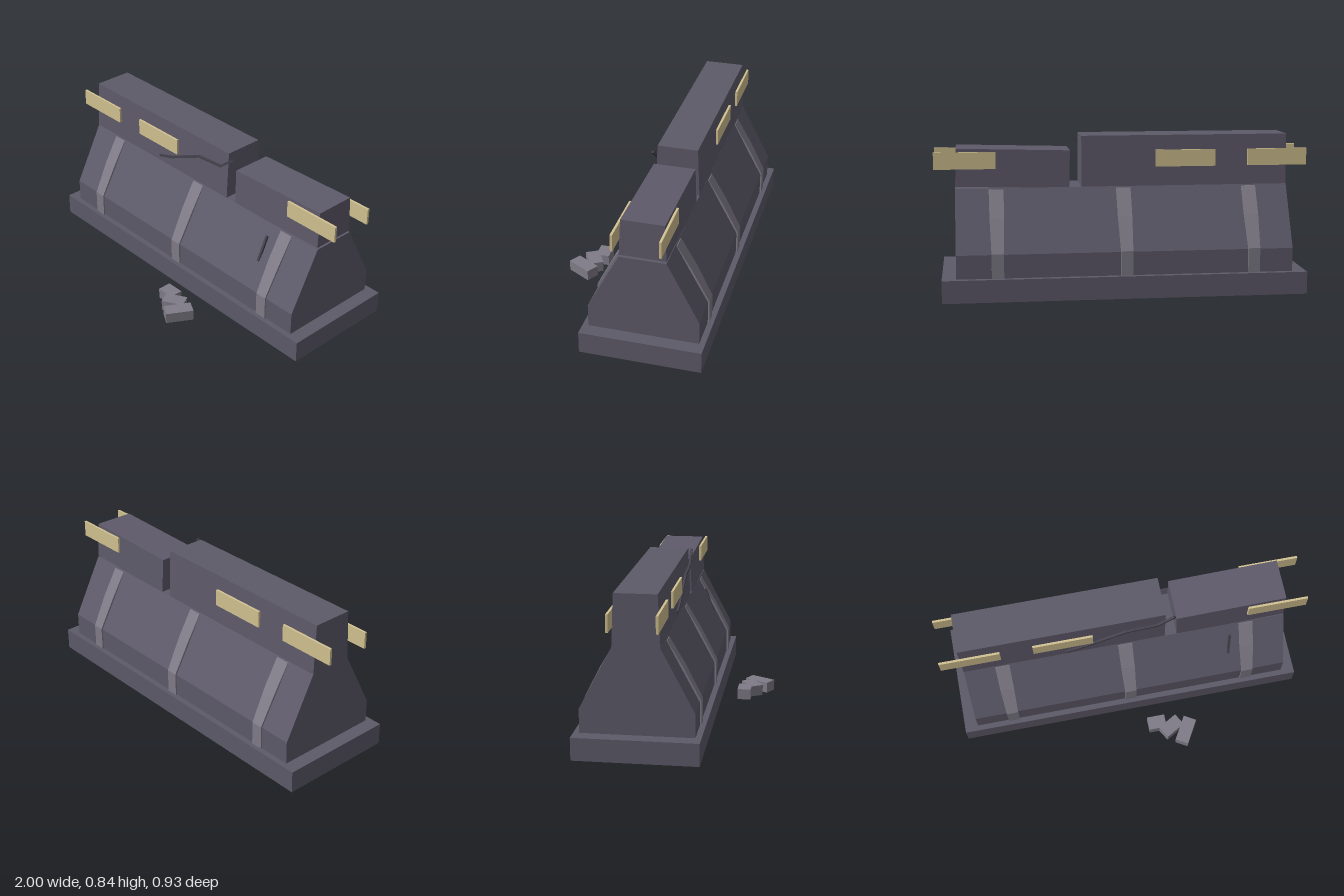
import * as THREE from 'three';

const CZ = -0.146; // centre line of the barrier

const material = (name, color, extra = {}) => {
  const m = new THREE.MeshStandardMaterial({ color, ...extra });
  m.name = name;
  return m;
};

// Cross-section of [half depth, y] points, mirrored and extruded along x
function prism(half, x0, x1) {
  const right = half.map(([d, y]) => new THREE.Vector2(d, y));
  const left = half.map(([d, y]) => new THREE.Vector2(-d, y)).reverse();
  const geo = new THREE.ExtrudeGeometry(new THREE.Shape([...right, ...left]), { depth: x1 - x0, bevelEnabled: false });
  geo.rotateY(Math.PI / 2);
  geo.translate(x0, 0, CZ);
  return geo;
}

// Ribbon of boxes following a path
function crack(points, thick, depth, mat, name) {
  const group = new THREE.Group();
  group.name = name;
  for (let i = 0; i < points.length - 1; i++) {
    const a = new THREE.Vector3(...points[i]);
    const b = new THREE.Vector3(...points[i + 1]);
    const piece = new THREE.Mesh(new THREE.BoxGeometry(thick, depth, a.distanceTo(b) + thick * 0.4), mat);
    piece.name = name + 'Piece';
    piece.position.copy(a).add(b).multiplyScalar(0.5);
    piece.up.set(0, 0, 1);
    piece.lookAt(b);
    group.add(piece);
  }
  return group;
}

// Bent strip on the sloped wall: rows of [half width, y, outer z, inner z]
function ribGeometry(rows) {
  const pos = [], index = [];
  rows.forEach(([w, y, out, inn]) => pos.push(-w, y, out, w, y, out, w, y, inn, -w, y, inn));
  for (let r = 0; r < rows.length - 1; r++) {
    for (let k = 0; k < 4; k++) {
      const a = r * 4 + k, b = r * 4 + (k + 1) % 4;
      index.push(a, b, b + 4, a, b + 4, a + 4);
    }
  }
  const t = (rows.length - 1) * 4;
  index.push(t, t + 1, t + 2, t, t + 2, t + 3, 0, 2, 1, 0, 3, 2);
  const geo = new THREE.BufferGeometry();
  geo.setAttribute('position', new THREE.Float32BufferAttribute(pos, 3));
  geo.setIndex(index);
  const flat = geo.toNonIndexed();
  flat.computeVertexNormals();
  return flat;
}

export function createModel() {
  const model = new THREE.Group();
  model.name = 'brokenBarrier';
  const concrete = material('concrete', 0x5e5a6a);
  const paleConcrete = material('paleConcrete', 0x807c88);
  const yellow = material('fadedYellow', 0xd2c291);
  const dark = material('crackDark', 0x45424c);

  const add = (name, geo, mat, x = 0, y = 0, z = 0) => {
    const mesh = new THREE.Mesh(geo, mat);
    mesh.name = name;
    mesh.position.set(x, y, z);
    model.add(mesh);
    return mesh;
  };

  // Footing and sloped body
  add('footing', new THREE.BoxGeometry(1.93, 0.12, 0.643), concrete, 0, 0.06, CZ);
  add('slopedBody', prism([[0.291, 0.117], [0.291, 0.245], [0.121, 0.57]], -0.89, 0.89), concrete);

  // Upper wall in two pieces, one of them tilted
  add('upperWall', prism([[0.121, 0.565], [0.109, 0.84]], -0.89, 0.222), concrete);
  const tilted = add('tiltedWall', prism([[0.121, 0], [0.112, 0.2]], 0, 0.6), concrete, 0.288, 0.564, 0);
  tilted.rotation.z = 0.027;

  // Ribs on both slopes
  const rib = ribGeometry([
    [0.032, 0.118, 0.299, 0.27],
    [0.032, 0.25, 0.299, 0.27],
    [0.038, 0.42, 0.212, 0.18],
    [0.039, 0.563, 0.128, 0.1],
  ]);
  for (const x of [-0.68, 0, 0.675]) {
    add('frontRib', rib, paleConcrete, x, 0, CZ);
    add('backRib', rib, paleConcrete, x, 0, CZ).rotation.y = Math.PI;
  }

  // Warning stripes on both sides
  const stripe = new THREE.BoxGeometry(0.325, 0.09, 0.0125);
  for (const x of [-0.8375, -0.337, 0.8375]) {
    add('frontStripe', stripe, yellow, x, 0.717, -0.0235);
    add('backStripe', stripe, yellow, x, 0.717, -0.266);
  }

  // Cracks
  const z = -0.0235;
  model.add(crack([[-0.32, 0.605, z], [-0.22, 0.635, z], [0.005, 0.736, z], [0.175, 0.749, z], [0.267, 0.823, z]],
    0.0125, 0.0125, dark, 'wallCrack'));
  model.add(crack([[0.58, 0.518, 0.023], [0.575, 0.45, 0.047], [0.571, 0.385, 0.072]],
    0.0125, 0.0125, dark, 'slopeCrack'));

  // Rubble in front
  const rubble = [[0.125, 0.303, 0.1, 0], [0.203, 0.34, 0.122, Math.PI / 6], [0.28, 0.379, 0.15, Math.PI / 3]];
  for (const [x, rz, length, turn] of rubble) {
    add('rubble', new THREE.BoxGeometry(length, 0.06, 0.075), paleConcrete, x, 0.03, rz).rotation.y = turn;
  }
  return model;
}
